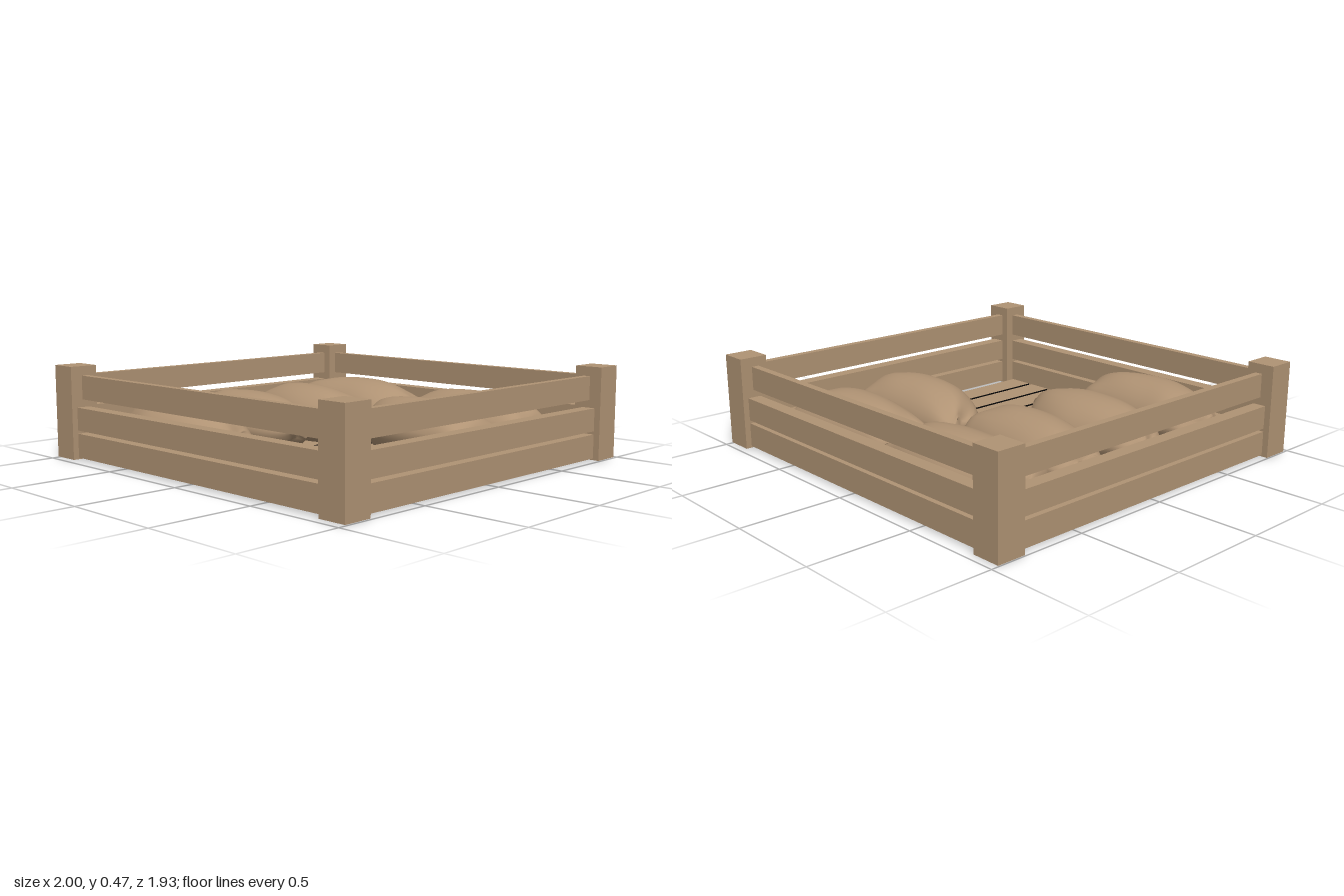
import * as THREE from 'three';

const tan = new THREE.MeshStandardMaterial({ color: 0xb09374 });
tan.name = 'tan';
const black = new THREE.MeshStandardMaterial({ color: 0x050505 });
black.name = 'black';

// Box given by its lower and upper limits on each axis
function box(name, [x0, x1], [y0, y1], [z0, z1], material = tan) {
  const mesh = new THREE.Mesh(new THREE.BoxGeometry(x1 - x0, y1 - y0, z1 - z0), material);
  mesh.name = name;
  mesh.position.set((x0 + x1) / 2, (y0 + y1) / 2, (z0 + z1) / 2);
  return mesh;
}

// Plump sack: stations of [x, back z, front z] skinned with rounded sections
function sack(stations, seed) {
  const mid = 0.165, rise = 0.157, drop = 0.145, rings = 32, sides = 28;
  const first = stations[0], last = stations[stations.length - 1];
  const outline = new THREE.CatmullRomCurve3(
    stations.map((s) => new THREE.Vector3(...s)), false, 'centripetal');
  const points = [], index = [];
  for (let i = 0; i <= rings; i++) {
    const s = outline.getPoint(i / rings);
    const t = (2 * (s.x - first[0])) / (last[0] - first[0]) - 1, u = Math.abs(t);
    const full = Math.max(0.25, Math.sqrt(Math.max(0, 1 - u ** 2.4)));
    for (let j = 0; j < sides; j++) {
      const a = (j / sides) * Math.PI * 2, c = Math.cos(a), sn = Math.sin(a);
      // folds gather toward the tied ends, which are pulled in unevenly
      const fold = 0.012 * u * u * sn * Math.sin(5 * a + seed * 2 + s.x * 9);
      const pull = -Math.sign(t) * 0.03 * u ** 6 * (0.5 + 0.5 * Math.sin(3 * a + seed * 1.7));
      const height = sn > 0 ? rise * sn ** 1.2 : drop * sn;
      points.push(s.x + pull, mid + height * full + fold, (s.y + s.z) / 2 + (c * (s.z - s.y)) / 2);
    }
  }
  for (let i = 0; i < rings; i++) {
    for (let j = 0; j < sides; j++) {
      const k = (j + 1) % sides;
      const a = i * sides + j, b = i * sides + k, c = a + sides, d = b + sides;
      index.push(a, c, b, b, c, d);
    }
  }
  // closed ends
  for (const [ring, s, flip, inset] of [[0, first, false, 0.015], [rings, last, true, -0.015]]) {
    const centre = points.length / 3;
    points.push(s[0] + inset, mid, (s[1] + s[2]) / 2);
    for (let j = 0; j < sides; j++) {
      const a = ring * sides + j, b = ring * sides + ((j + 1) % sides);
      index.push(centre, flip ? b : a, flip ? a : b);
    }
  }
  const geometry = new THREE.BufferGeometry();
  geometry.setAttribute('position', new THREE.Float32BufferAttribute(points, 3));
  geometry.setIndex(index);
  geometry.computeVertexNormals();
  const mesh = new THREE.Mesh(geometry, tan);
  mesh.name = 'sack';
  return mesh;
}

export function createModel() {
  const model = new THREE.Group();
  model.name = 'sackCrate';

  // Corner posts
  for (const x of [-0.929, 0.929]) {
    for (const z of [-0.895, 0.895]) {
      model.add(box('cornerPost', [x - 0.071, x + 0.071], [0.004, 0.465], [z - 0.071, z + 0.071]));
    }
  }

  // Three rails on every wall, the top one thinner and set to the inside
  const rails = [
    { name: 'bottomRail', y: [0.012, 0.132], inset: 0 },
    { name: 'middleRail', y: [0.148, 0.262], inset: 0 },
    { name: 'topRail', y: [0.3, 0.418], inset: 0.031 },
  ];
  for (const { name, y, inset } of rails) {
    for (const side of [-1, 1]) {
      const span = (outer) =>
        [side * (outer - inset), side * (outer - 0.068)].sort((a, b) => a - b);
      model.add(box(name, [-0.87, 0.87], y, span(0.937)));
      model.add(box(name, span(0.969), y, [-0.84, 0.84]));
    }
  }

  // Thin floor slats with black strips along their long edges
  for (let i = 0; i < 11; i++) {
    const x = (i - 5) * 0.1565;
    model.add(box('floorSlat', [x - 0.067, x + 0.067], [0.002, 0.022], [-0.9, 0.9]));
    for (const edge of [-1, 1]) {
      const e = x + edge * 0.061;
      model.add(box('slatEdge', [e - 0.0065, e + 0.0065], [0, 0.021], [-0.902, 0.902], black));
    }
  }

  // Sacks: four on the right, two at the back left
  const sacks = [
    [[-0.83, -0.68, -0.6], [-0.77, -0.7, -0.45], [-0.68, -0.76, -0.42], [-0.45, -0.82, -0.405],
      [-0.2, -0.8, -0.41], [-0.07, -0.77, -0.46], [0.01, -0.76, -0.66]],
    [[-0.8, -0.34, -0.15], [-0.77, -0.39, -0.12], [-0.65, -0.41, -0.06], [-0.4, -0.4, 0],
      [-0.18, -0.37, -0.01], [-0.07, -0.34, -0.04], [-0.01, -0.26, -0.08]],
    [[-0.82, 0.06, 0.22], [-0.75, 0.02, 0.3], [-0.6, 0.01, 0.38], [-0.35, 0, 0.43],
      [-0.14, 0.06, 0.41], [-0.05, 0.12, 0.36], [0.01, 0.19, 0.28]],
    [[-0.81, 0.55, 0.69], [-0.75, 0.45, 0.75], [-0.62, 0.43, 0.81], [-0.45, 0.45, 0.865],
      [-0.2, 0.48, 0.84], [-0.07, 0.5, 0.81], [0.01, 0.54, 0.78]],
    [[-0.01, -0.58, -0.45], [0.05, -0.73, -0.44], [0.2, -0.77, -0.42], [0.45, -0.8, -0.39],
      [0.62, -0.8, -0.41], [0.74, -0.78, -0.44], [0.78, -0.72, -0.54]],
    [[0.0, -0.34, -0.22], [0.06, -0.375, -0.12], [0.2, -0.385, -0.03], [0.4, -0.38, 0.01],
      [0.6, -0.37, 0.015], [0.74, -0.35, 0], [0.8, -0.23, -0.1]],
  ];
  sacks.forEach((stations, i) => model.add(sack(stations, i + 1)));

  return model;
}
